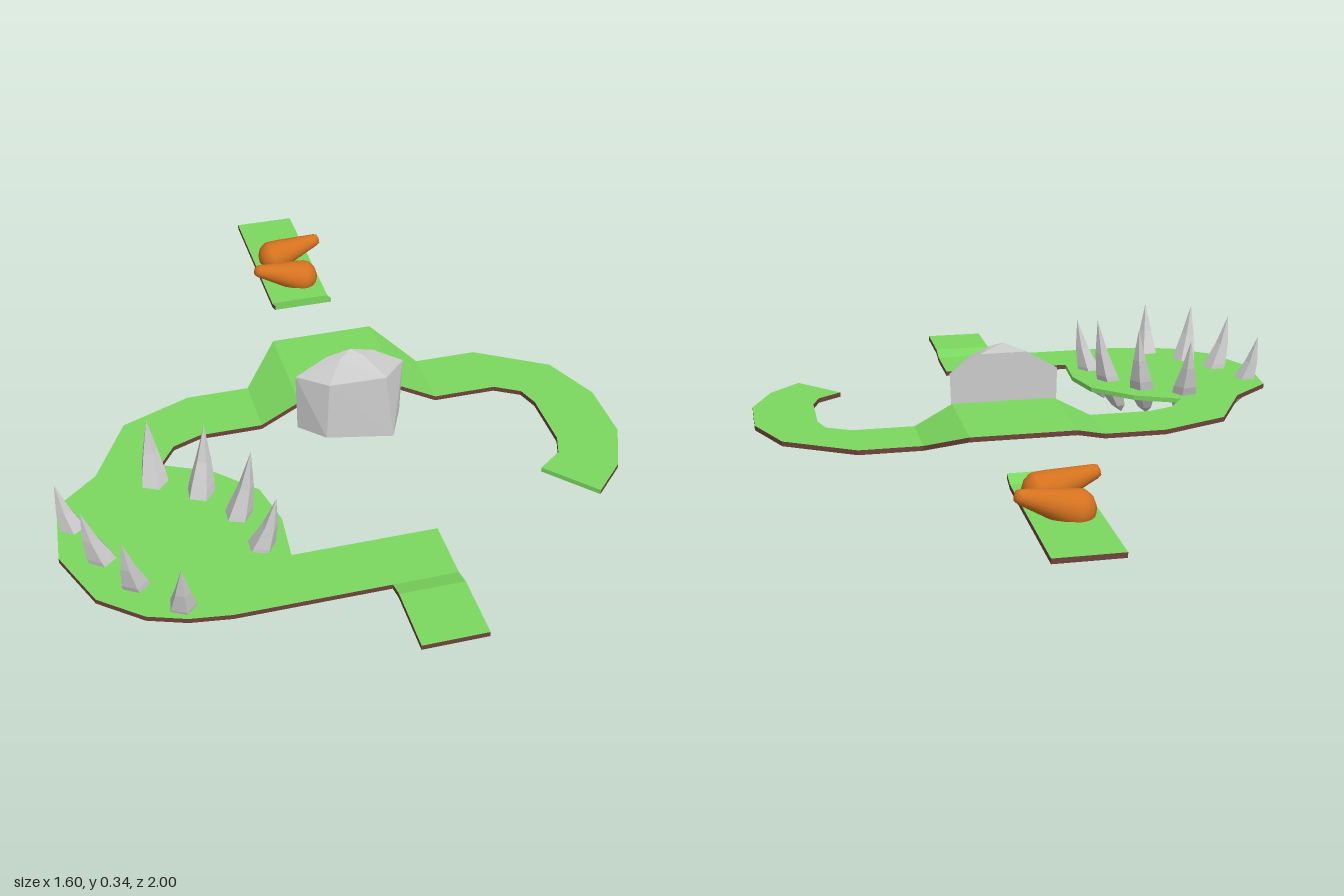
import * as THREE from 'three';
import { ConvexGeometry } from 'three/addons/geometries/ConvexGeometry.js';

const mat = (color) => new THREE.MeshStandardMaterial({ color, flatShading: true });
const grass = mat(0x7bd85f), earth = mat(0x6e443a), stone = mat(0xcccccc);
const orange = new THREE.MeshStandardMaterial({ color: 0xd4721f });
const clamp = (v) => Math.min(1, Math.max(0, v));
const THICK = 0.014;

// Height of the underside of the path: raised bridge, front step, rear ramp
function height(x, z) {
  if (z < -0.3) return 0.115 + 0.016 * clamp((z + 0.51) / 0.04);
  if (z < 0.07) return 0.1 + 0.06 * clamp(Math.min(x + 0.17, 0.35 - x) / 0.11);
  return 0.1 + 0.015 * clamp((z - 0.77) / 0.05);
}
const point = ([x, z], up) => [x, height(x, z) + up, z];

function meshFrom(name, coords, material) {
  const geo = new THREE.BufferGeometry();
  geo.setAttribute('position', new THREE.Float32BufferAttribute(coords.flat(), 3));
  geo.computeVertexNormals();
  const mesh = new THREE.Mesh(geo, material);
  mesh.name = name;
  return mesh;
}

// Thin slab: grass above and below, earth rim except for the listed grass edges
function slab(name, outline, pieces, grassEdges) {
  const green = [], brown = [];
  for (const piece of pieces) {
    const flat = piece.map(([x, z]) => new THREE.Vector2(x, z));
    for (const tri of THREE.ShapeUtils.triangulateShape(flat, [])) {
      let [a, b, c] = tri.map((i) => piece[i]);
      const facing = (b[1] - a[1]) * (c[0] - a[0]) - (b[0] - a[0]) * (c[1] - a[1]);
      if (facing < 0) [b, c] = [c, b];
      green.push(point(a, THICK), point(b, THICK), point(c, THICK));
      green.push(point(a, 0), point(c, 0), point(b, 0));
    }
  }
  outline.forEach((a, i) => {
    const b = outline[(i + 1) % outline.length];
    const list = grassEdges.includes(a) ? green : brown;
    list.push(point(a, 0), point(b, 0), point(b, THICK));
    list.push(point(a, 0), point(b, THICK), point(a, THICK));
  });
  const group = new THREE.Group();
  group.name = name;
  group.add(meshFrom(name + 'Grass', green, grass), meshFrom(name + 'Rim', brown, earth));
  return group;
}

function mainPath() {
  const leftOuter = [[-0.17, -0.12], [-0.35, -0.12], [-0.55, -0.04], [-0.66, 0.16], [-0.78, 0.26],
    [-0.8, 0.46], [-0.73, 0.63], [-0.62, 0.72], [-0.52, 0.755], [-0.41, 0.77], [0, 0.77]];
  const pad = [[0, 0.82], [0, 1], [0.175, 1], [0.175, 0.82]];
  const leftInner = [[0.175, 0.77], [0.175, 0.6], [-0.22, 0.6], [-0.21, 0.46], [-0.24, 0.33],
    [-0.35, 0.22], [-0.48, 0.16], [-0.43, 0.09], [-0.35, 0.06], [-0.17, 0.06]];
  const bridgeFront = [[-0.06, 0.06], [0.24, 0.06]];
  const hook = [[0.35, 0.06], [0.53, 0.06], [0.6, 0.1], [0.62, 0.16], [0.62, 0.33], [0.6, 0.39],
    [0.53, 0.44], [0.65, 0.57], [0.74, 0.48], [0.8, 0.34], [0.8, 0.16], [0.73, 0], [0.53, -0.12],
    [0.35, -0.12]];
  const bridgeBack = [[0.24, -0.25], [-0.06, -0.25]];
  const outline = [...leftOuter, ...pad, ...leftInner, ...bridgeFront, ...hook, ...bridgeBack];
  const pieces = [
    [...leftOuter, ...leftInner],
    [leftOuter.at(-1), pad[0], pad[3], leftInner[0]],
    pad,
    [leftInner.at(-1), bridgeFront[0], bridgeBack[1], leftOuter[0]],
    [...bridgeFront, ...bridgeBack],
    [bridgeFront[1], hook[0], hook.at(-1), bridgeBack[0]],
    hook,
  ];
  return slab('path', outline, pieces, [...leftInner.slice(2, 6), hook[6]]);
}

function rearPath() {
  const o = [[0, -1], [0, -0.51], [0, -0.47], [0.18, -0.47], [0.18, -0.51], [0.18, -1]];
  return slab('rearPath', o, [[o[0], o[1], o[4], o[5]], o.slice(1, 5)], [o[2]]);
}

// Faceted boulder with a flat back against the bridge
function boulder() {
  const pts = [
    [-0.065, 0.085, 0.06], [0.24, 0.085, 0.06], [0, 0.095, 0.14], [0.185, 0.095, 0.18],
    [-0.07, 0.265, 0.06], [0.245, 0.265, 0.06], [0.01, 0.27, 0.13], [0.165, 0.29, 0.16],
    [0.02, 0.318, 0.06], [0.155, 0.318, 0.06], [0.05, 0.325, 0.09], [0.12, 0.33, 0.1], [0.085, 0.345, 0.075],
  ].map((p) => new THREE.Vector3(...p));
  const mesh = new THREE.Mesh(new ConvexGeometry(pts), stone);
  mesh.name = 'boulder';
  return mesh;
}

// Curved stone spike leaning outward from the middle of the round clearing
function spike([x, z, low, top], index) {
  const profile = [[0, 0], [0.022, 0.08], [0.041, 0.26], [0.036, 0.42], [0.021, 0.66], [0, 1]]
    .map(([r, t]) => new THREE.Vector2(r, low + t * (top - low)));
  const geo = new THREE.LatheGeometry(profile, 5, index * 1.3);
  const out = new THREE.Vector2(x + 0.5, z - 0.46).normalize();
  const pos = geo.attributes.position;
  for (let i = 0; i < pos.count; i++) {
    const t = (pos.getY(i) - low) / (top - low);
    const lean = -0.055 + 0.15 * t - 0.06 * t * t;
    pos.setX(i, pos.getX(i) + out.x * lean);
    pos.setZ(i, pos.getZ(i) + out.y * lean);
  }
  geo.computeVertexNormals();
  const mesh = new THREE.Mesh(geo, stone);
  mesh.name = 'spike' + (index + 1);
  mesh.position.set(x, 0, z);
  return mesh;
}

// Rounded, tapering orange cone lying with its tip raised
function cone(name, x, z, dir) {
  const profile = [[0, -0.035], [0.022, -0.031], [0.04, -0.018], [0.05, 0], [0.051, 0.012],
    [0.045, 0.045], [0.019, 0.16], [0.014, 0.17], [0, 0.173]].map((p) => new THREE.Vector2(...p));
  const mesh = new THREE.Mesh(new THREE.LatheGeometry(profile, 20), orange);
  mesh.name = name;
  mesh.position.set(x, 0.142, z);
  mesh.rotation.z = -dir * (Math.PI / 2 - 0.29);
  return mesh;
}

export function createModel() {
  const model = new THREE.Group();
  model.add(mainPath(), rearPath(), boulder());

  // Ring of spikes: x, z, bottom, top
  const spikes = new THREE.Group();
  spikes.name = 'spikes';
  [
    [-0.75, 0.345, 0.01, 0.25], [-0.7, 0.485, 0.02, 0.28], [-0.63, 0.605, 0.02, 0.285],
    [-0.525, 0.71, 0.015, 0.27], [-0.51, 0.21, 0.03, 0.29], [-0.39, 0.29, 0.02, 0.31],
    [-0.31, 0.41, 0, 0.31], [-0.28, 0.545, 0.015, 0.275],
  ].forEach((s, i) => spikes.add(spike(s, i)));
  model.add(spikes);

  model.add(cone('rearCone', 0.05, -0.752, 1), cone('frontCone', 0.135, -0.615, -1));
  return model;
}
